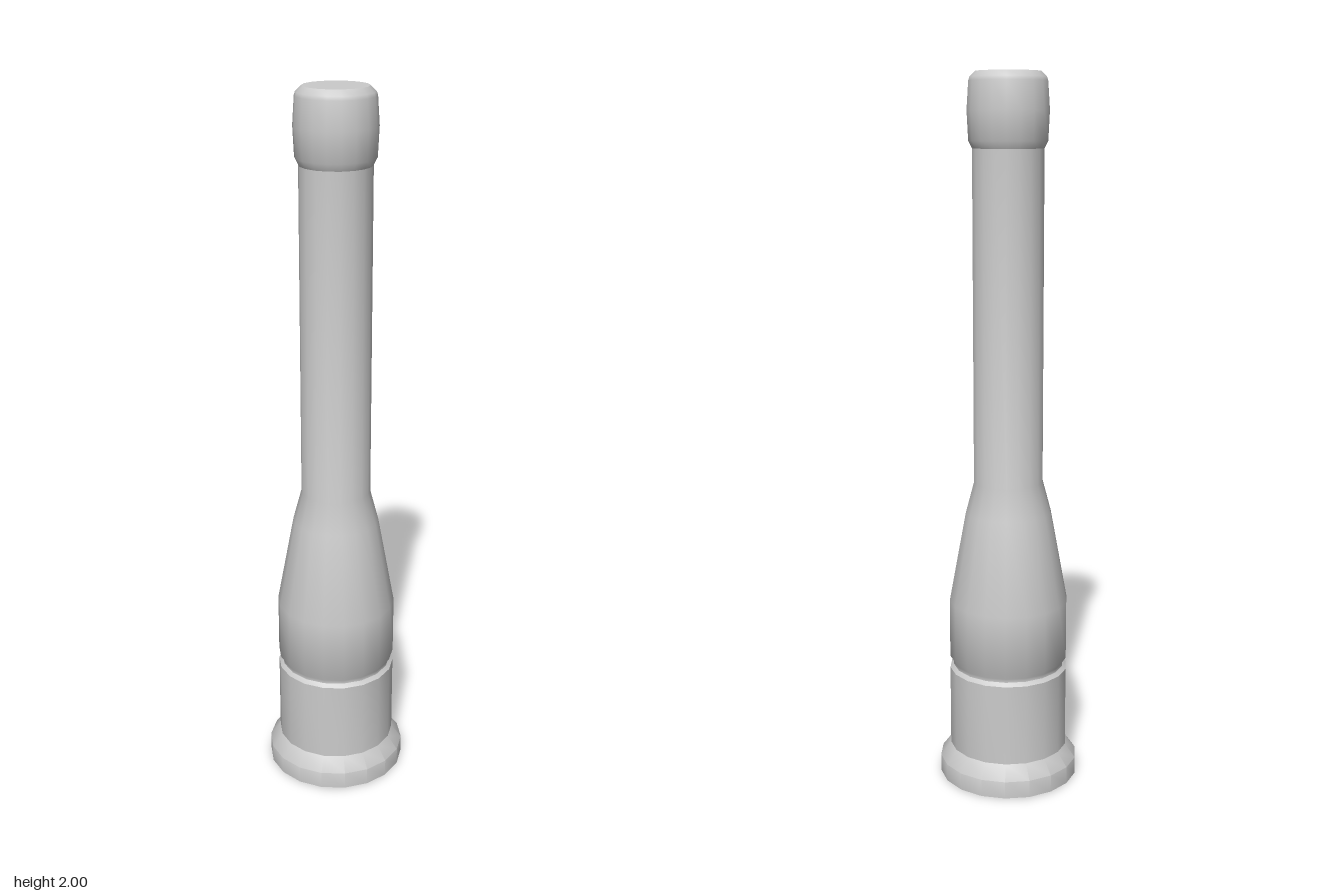
import * as THREE from 'three';
import { toCreasedNormals } from 'three/addons/utils/BufferGeometryUtils.js';

const SIDES = 18;

export function createModel() {
  const group = new THREE.Group();
  const material = new THREE.MeshStandardMaterial({ color: 0xcccccc });

  // Turn a profile of [radius, height] pairs, with one corner pointing along +x
  const turn = (name, profile) => {
    const points = profile.map(([r, y]) => new THREE.Vector2(r, y));
    const lathe = new THREE.LatheGeometry(points, SIDES, Math.PI / 2);
    const mesh = new THREE.Mesh(toCreasedNormals(lathe, 0.7), material);
    mesh.name = name;
    group.add(mesh);
  };

  // Closed foot with a bevelled upper edge
  turn('baseFlange', [[0, 0], [0.2, 0], [0.2, 0.05], [0.17, 0.09]]);

  // Lower barrel with its groove, then the taper and the long straight shaft
  turn('bodyAndShaft', [
    [0.17, 0.09], [0.17, 0.325], [0.16, 0.335], [0.16, 0.345], [0.17, 0.36],
    [0.17, 0.53], [0.122, 0.79], [0.098, 0.88], [0.098, 1.805],
  ]);

  // Slightly swollen end cap with a rounded rim and flat top
  turn('endCap', [
    [0.098, 1.8], [0.108, 1.82], [0.112, 1.9], [0.107, 1.975],
    [0.104, 1.985], [0.088, 2], [0, 2],
  ]);

  return group;
}
